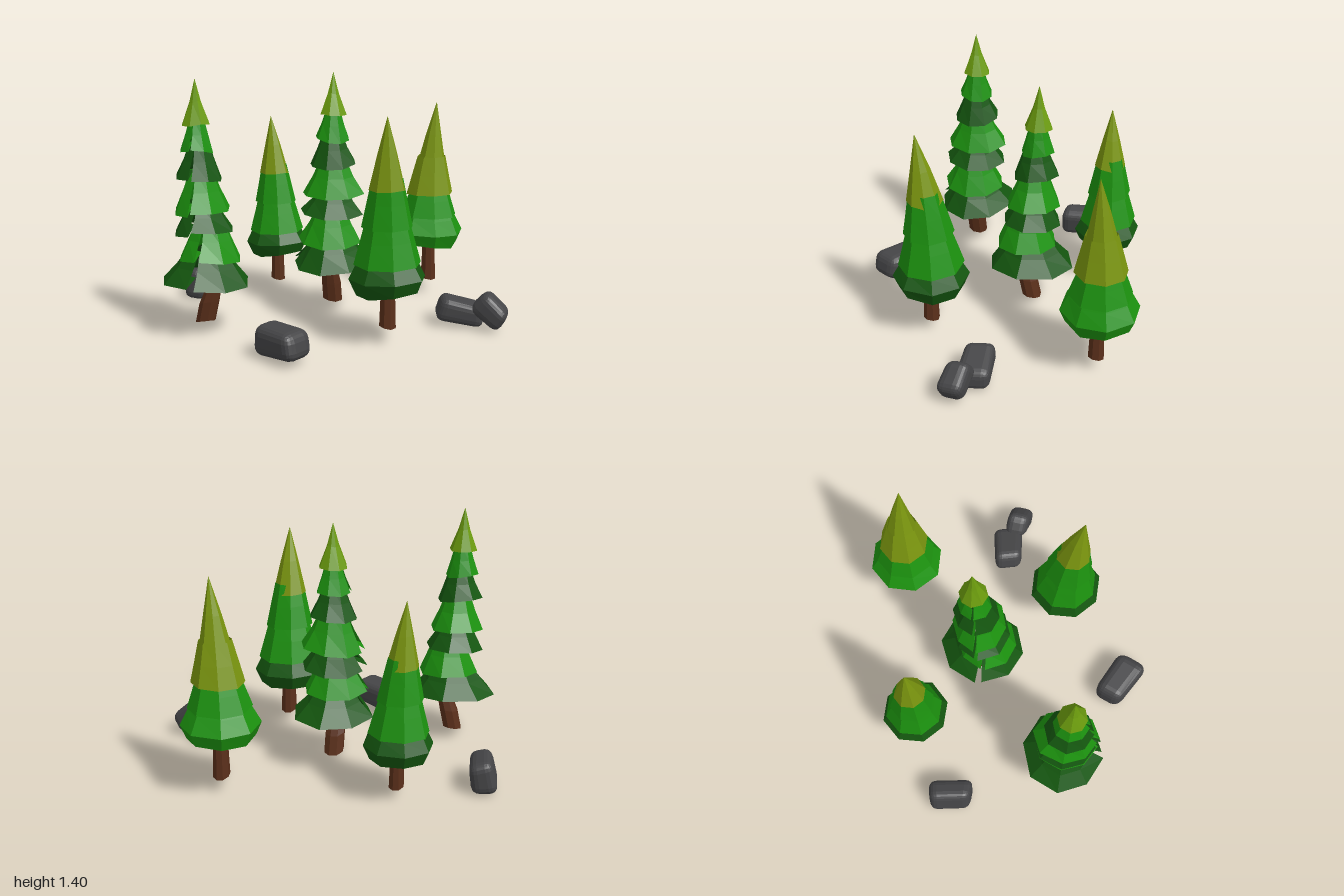
import * as THREE from 'three';
import { RoundedBoxGeometry } from 'three/addons/geometries/RoundedBoxGeometry.js';

const mat = (color, flatShading = true) =>
  new THREE.MeshStandardMaterial({ color, flatShading, side: THREE.DoubleSide });
const DARK = mat(0x14560f), MID = mat(0x1c920f), LIGHT = mat(0x6c9c0e), OLIVE = mat(0x7b960f);
const BARK = mat(0x5a2f1a), STONE = mat(0x454547, false);

// Fixed irregularity in the range -1..1
const wobble = (n) => Math.sin(n * 12.9898 + 4.1) * Math.cos(n * 7.233);

// Eight-sided skirt of branches, lofted through rings {y, x, z, rx, rz, rough}
function skirt(rings, seed, seam, start) {
  const pos = [], idx = [], sides = 8;
  rings.forEach((r, j) => {
    for (let i = 0; i <= sides; i++) {
      const gap = j > 0 ? seam * (i === 0 ? 1 : i === sides ? -1 : 0) : 0;
      const a = start + (i / sides) * Math.PI * 2 + gap;
      const n = wobble(seed * 9 + (seam ? i : i % sides)) * r.rough;
      pos.push(r.x + Math.cos(a) * r.rx * (1 + n), r.y + n * 0.25, r.z + Math.sin(a) * r.rz * (1 + n));
      if (j > 0 && i < sides) {
        const b = j * (sides + 1) + i, t = b - sides - 1;
        idx.push(t, t + 1, b, b, t + 1, b + 1);
      }
    }
  });
  const g = new THREE.BufferGeometry();
  g.setAttribute('position', new THREE.Float32BufferAttribute(pos, 3));
  g.setIndex(idx);
  g.computeVertexNormals();
  return g;
}

// Trunk lofted through [y, x, z, radius]
function trunk(rows) {
  const rings = rows.map(([y, x, z, r]) => ({ y, x, z, rx: r, rz: r, rough: 0.06 }));
  const foot = { ...rings[rings.length - 1], rx: 0, rz: 0 };
  const mesh = new THREE.Mesh(skirt([...rings, foot], 3, 0, 0.2), BARK);
  mesh.name = 'trunk';
  return mesh;
}

// Tall leaning tree: layers are [top y, rim y, centre x, centre z, rx, rz, material]
function tallTree() {
  const tree = new THREE.Group();
  const layers = [
    [1.42, 1.18, -0.005, -0.04, 0.08, 0.08, LIGHT],
    [1.21, 1.04, -0.005, -0.035, 0.098, 0.098, MID],
    [1.08, 0.89, -0.005, -0.025, 0.132, 0.132, DARK],
    [0.93, 0.71, 0, -0.02, 0.175, 0.155, MID],
    [0.76, 0.6, 0, -0.015, 0.178, 0.175, DARK],
    [0.66, 0.45, 0, 0.025, 0.182, 0.185, MID],
    [0.49, 0.31, 0, 0, 0.225, 0.258, DARK],
  ];
  layers.forEach(([top, rim, x, z, rx, rz, material], k) => {
    const ring = (y, s, rough) => ({ y, x, z, rx: rx * s, rz: rz * s, rough });
    const rings = [
      ring(top, k ? 0.42 : 0.01, 0),
      ring(top + (rim - top) * 0.5, k ? 0.68 : 0.42, 0.03),
      ring(rim, 1, k ? 0.09 : 0.03),
      ring(rim + 0.05, 0.55, 0),
    ];
    const mesh = new THREE.Mesh(skirt(rings, k + 1, k ? 0.07 : 0, Math.PI), material);
    mesh.name = 'branchLayer' + (k + 1);
    tree.add(mesh);
  });
  tree.add(trunk([[0.62, 0, 0.03, 0.03], [0.3, 0, 0.045, 0.043], [0.19, 0, 0.01, 0.057], [0.08, 0, -0.015, 0.057]]));
  return tree;
}

// Short tree: layers are [top y, rim y, radius, material]; the tip leans by (tx, tz)
function shortTree(layers, tx, tz, seed) {
  const tree = new THREE.Group();
  layers.forEach(([top, rim, radius, material], k) => {
    const ring = (y, r, rough) => {
      const lean = Math.pow(Math.max(0, (y - 0.35) / 0.9), 2);
      return { y, x: tx * lean, z: tz * lean, rx: r, rz: r, rough };
    };
    const last = k === layers.length - 1;
    const rings = [
      ring(top, k ? radius * 0.6 : 0.001, 0),
      ring(top + (rim - top) * 0.5, radius * (k ? 0.8 : 0.53), 0.02),
      ring(rim, radius, last ? 0.04 : 0.03),
    ];
    // The lowest layer folds in under its widest ring
    if (last) rings.push(ring(rim - 0.08, radius * 0.84, 0.1));
    rings.push(ring(last ? rim - 0.02 : rim + 0.04, radius * 0.5, 0));
    const mesh = new THREE.Mesh(skirt(rings, seed + k, 0, 0.35), material);
    mesh.name = 'branchLayer' + (k + 1);
    tree.add(mesh);
  });
  tree.add(trunk([[0.55, 0, 0, 0.025], [0.3, 0.01, 0.005, 0.04], [0.1, 0.01, 0.005, 0.047]]));
  return tree;
}

// Weathered stone: rounded box, narrowed toward one end
function rock(name, size, position, rotation) {
  const g = new RoundedBoxGeometry(...size, 2, Math.min(...size) * 0.33);
  const p = g.attributes.position;
  for (let i = 0; i < p.count; i++) {
    const u = p.getX(i) / size[0], v = p.getY(i) / size[1], w = p.getZ(i) / size[2];
    p.setXYZ(i, p.getX(i) * (1 - 0.15 * v), p.getY(i) * (1 - 0.18 * u), p.getZ(i) * (1 + 0.12 * u));
    p.setX(i, p.getX(i) + w * 0.02);
  }
  g.computeVertexNormals();
  const mesh = new THREE.Mesh(g, STONE);
  mesh.name = name;
  mesh.position.set(...position);
  mesh.rotation.set(...rotation);
  return mesh;
}

export function createModel() {
  const model = new THREE.Group();
  const place = (name, tree, x, z, turn = 0, y = 0, scale = 1) => {
    tree.name = name;
    tree.position.set(x, y, z);
    tree.rotation.y = turn;
    tree.scale.setScalar(scale);
    model.add(tree);
  };

  // Two tall trees, one turned a quarter
  place('tallTreeCentre', tallTree(), -0.045, -0.11);
  place('tallTreeFront', tallTree(), -0.6, 0.445, Math.PI / 2);

  // Three short trees
  const darkBase = [
    [1.25, 0.86, 0.1, OLIVE], [0.92, 0.66, 0.14, MID], [0.72, 0.46, 0.185, MID], [0.54, 0.385, 0.215, DARK],
  ];
  const greenBase = [
    [1.21, 0.82, 0.09, OLIVE], [0.88, 0.65, 0.145, OLIVE], [0.71, 0.51, 0.175, MID], [0.58, 0.41, 0.215, MID],
  ];
  place('shortTreeFront', shortTree(darkBase, 0.01, 0.06, 11), 0.39, 0.325);
  place('shortTreeSide', shortTree(darkBase, -0.03, 0.01, 11), -0.51, -0.445, 0, -0.01, 0.9);
  place('shortTreeBack', shortTree(greenBase, 0.05, 0.02, 21), 0.41, -0.66);

  // Stones
  model.add(
    rock('rockRight', [0.135, 0.18, 0.25], [-0.918, 0.107, -0.178], [0, 0.1, -0.2]),
    rock('rockFront', [0.3, 0.16, 0.18], [-0.065, 0.113, 0.738], [0, -0.5, 0.06]),
    rock('rockLeft', [0.255, 0.13, 0.175], [0.722, 0.1, -0.075], [0, 0.15, -0.17]),
    rock('rockLeftSmall', [0.19, 0.14, 0.14], [0.905, 0.13, -0.03], [0, -0.15, -0.65]),
  );
  return model;
}
